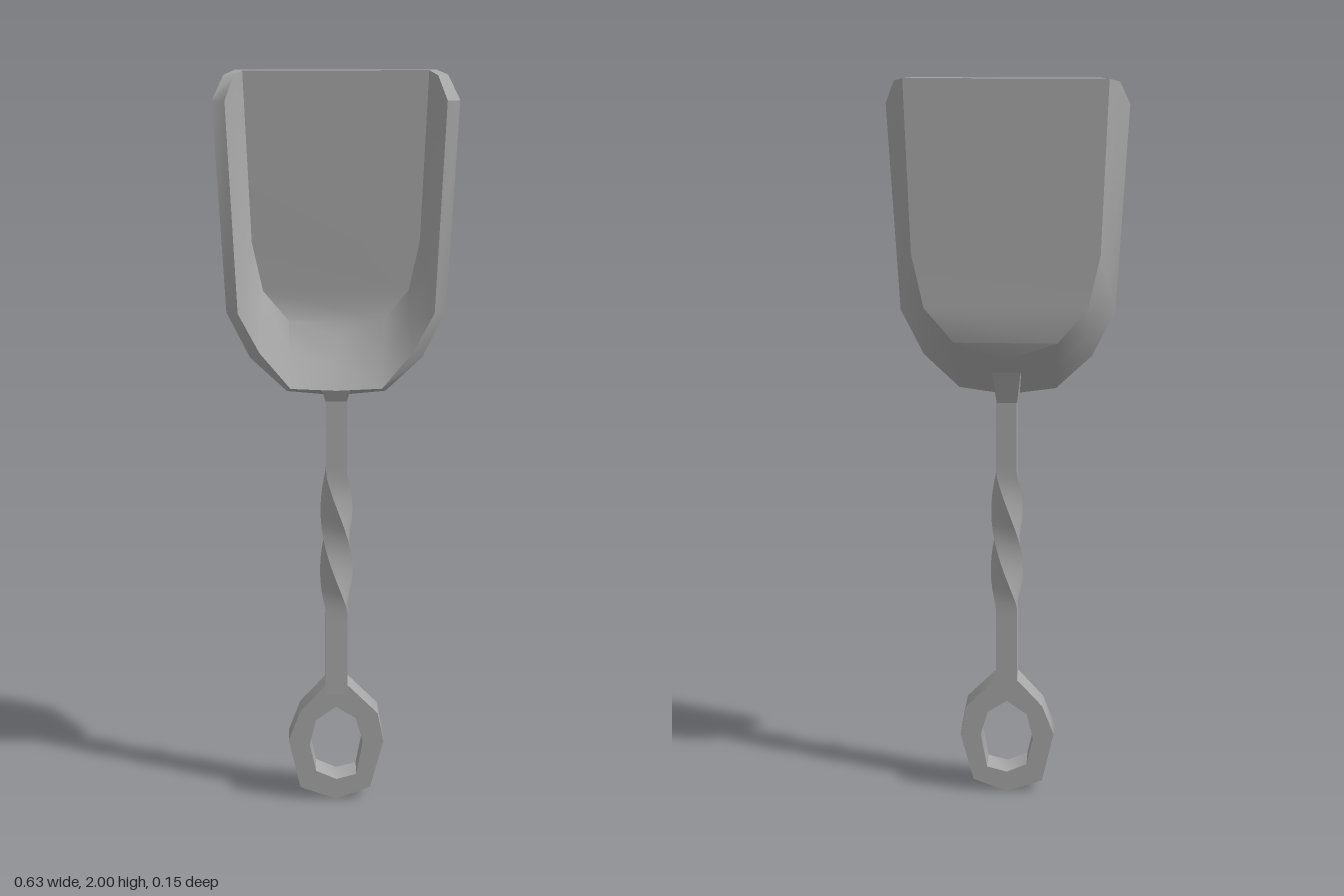
import * as THREE from 'three';
import { toCreasedNormals } from 'three/addons/utils/BufferGeometryUtils.js';

const iron = new THREE.MeshStandardMaterial({ color: 0xa8a8a8 });
iron.name = 'iron grey';

function part(name, geometry, crease) {
  const mesh = new THREE.Mesh(toCreasedNormals(geometry, crease), iron);
  mesh.name = name;
  return mesh;
}

const mirror = ([x, y, z]) => [-x, y, z];
const mid = (a, b) => a.map((v, i) => (v + b[i]) / 2);

// Scoop: wall sections run down the left side, round the heel and up the right side
function scoopGeometry() {
  const back = [[0.258, 2, -0.06], [0.243, 1.56, -0.066], [0.212, 1.42, -0.07], [0.135, 1.33, -0.073], [0, 1.28, -0.05]];
  const rimOut = [[0.313, 1.93, 0.042], [0.285, 1.39, 0.052], [0.225, 1.27, 0.052], [0.13, 1.18, 0.052], [0, 1.165, 0.04]];
  const rimIn = [[0.28, 1.93, 0.058], [0.255, 1.39, 0.07], [0.2, 1.285, 0.067], [0.12, 1.19, 0.071], [0, 1.185, 0.073]];
  const floor = [[0.238, 2, -0.025], [0.22, 1.56, -0.032], [0.192, 1.43, -0.037], [0.125, 1.35, -0.037], [0, 1.31, -0.025]];
  const half = back.map((b, i) => [b, mid(b, rimOut[i]), rimOut[i], rimIn[i], mid(rimIn[i], floor[i]), floor[i]]);
  // Chamfered top corner of the side wall
  half[0][1] = [0.285, 1.99, -0.01];
  half[0][4] = [0.258, 1.99, 0.014];
  const other = half.map((s) => s.map(mirror));
  const sections = [...half, ...other.slice(0, 4).reverse()];

  const positions = [];
  const tri = (a, b, c) => positions.push(...a, ...b, ...c);
  const quad = (a, b, c, d) => { tri(a, b, c); tri(a, c, d); };

  // Wall faces and rim
  for (let s = 0; s < sections.length - 1; s++) {
    for (let k = 0; k < 5; k++) {
      quad(sections[s][k], sections[s][k + 1], sections[s + 1][k + 1], sections[s + 1][k]);
    }
  }
  // Floor plate, underside and upper side
  for (let i = 0; i < 4; i++) {
    const [b0, b1, f0, f1] = [half[i][0], half[i + 1][0], half[i][5], half[i + 1][5]];
    if (i < 3) {
      quad(b0, b1, mirror(b1), mirror(b0));
      quad(mirror(f0), mirror(f1), f1, f0);
    } else {
      tri(b0, b1, mirror(b0));
      tri(mirror(f0), f1, f0);
    }
  }
  // Leading edge and wall ends
  const [b, mo, ro, ri, mi, f] = half[0];
  quad(mirror(b), mirror(f), f, b);
  for (const q of [[b, f, mi, mo], [mo, mi, ri, ro]]) {
    quad(...q);
    quad(...q.map(mirror).reverse());
  }
  const geometry = new THREE.BufferGeometry();
  geometry.setAttribute('position', new THREE.Float32BufferAttribute(positions, 3));
  return geometry;
}

// Handle: square bar with a half-turn twist, slightly slimmer at the top
function handleGeometry() {
  const bottom = 0.32, top = 1.2;
  const geometry = new THREE.BoxGeometry(1, top - bottom, 1, 1, 44, 1);
  geometry.translate(0, (top + bottom) / 2, 0);
  const p = geometry.attributes.position;
  for (let i = 0; i < p.count; i++) {
    const y = p.getY(i);
    const t = (y - bottom) / (top - bottom);
    const turn = Math.PI * THREE.MathUtils.clamp((0.95 - y) / 0.38, 0, 1);
    const x = p.getX(i) * THREE.MathUtils.lerp(0.06, 0.054, t);
    const z = p.getZ(i) * THREE.MathUtils.lerp(0.075, 0.058, t);
    p.setXYZ(i,
      0.001 + x * Math.cos(turn) + z * Math.sin(turn), y,
      THREE.MathUtils.lerp(0.037, 0.03, t) - x * Math.sin(turn) + z * Math.cos(turn));
  }
  return geometry;
}

// Neck: bar tip flattened against the heel of the scoop
function neckGeometry() {
  const geometry = new THREE.BoxGeometry(0.054, 0.09, 0.058);
  const p = geometry.attributes.position;
  for (let i = 0; i < p.count; i++) {
    const upper = p.getY(i) > 0;
    const rear = p.getZ(i) < 0;
    p.setXYZ(i, p.getX(i) * (upper ? 1.4 : 1),
      upper ? (rear ? 1.24 : 1.186) : 1.15,
      upper ? (rear ? -0.025 : 0.07) : (rear ? 0.001 : 0.059));
  }
  return geometry;
}

// Ring: faceted loop with an oval eye
function ringGeometry() {
  const points = (list) => list.map(([x, y]) => new THREE.Vector2(x, y));
  const shape = new THREE.Shape(points([
    [-0.028, 0.35], [-0.1, 0.27], [-0.132, 0.185], [-0.1, 0.04], [0, 0.004],
    [0.095, 0.04], [0.131, 0.18], [0.115, 0.265], [0.031, 0.35],
  ]));
  shape.holes.push(new THREE.Path(points([
    [0, 0.285], [-0.056, 0.245], [-0.074, 0.17], [-0.056, 0.09], [0, 0.065],
    [0.056, 0.08], [0.074, 0.18], [0.054, 0.25],
  ])));
  return new THREE.ExtrudeGeometry(shape, { depth: 0.074, bevelEnabled: false });
}

export function createModel() {
  const group = new THREE.Group();
  group.name = 'fireplaceShovel';
  group.add(
    part('scoop', scoopGeometry(), 0.7),
    part('handle', handleGeometry(), 0.7),
    part('neck', neckGeometry(), 0.5),
    part('ring', ringGeometry(), 0.7),
  );
  return group;
}
